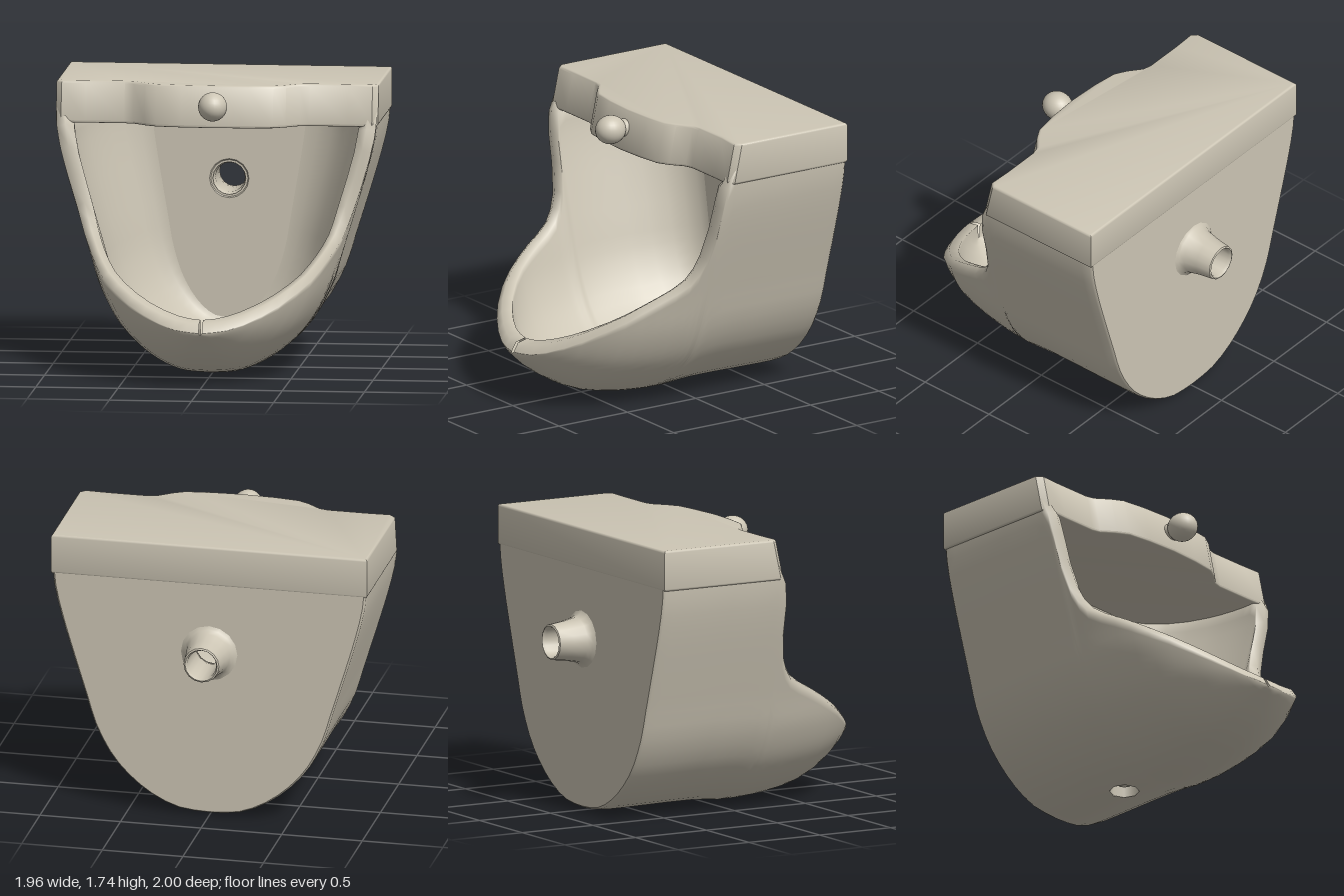
import * as THREE from 'three';
import { toCreasedNormals } from 'three/addons/utils/BufferGeometryUtils.js';

const ceramic = new THREE.MeshStandardMaterial({ color: 0xccc5b4, side: THREE.DoubleSide });
ceramic.name = 'glazed ceramic';

// Half outline of the body seen from the front, from the bottom up to the tank
const outline = new THREE.SplineCurve([
  [0, 0], [0.2, 0.02], [0.4, 0.12], [0.58, 0.29], [0.7, 0.5], [0.77, 0.72],
  [0.85, 0.98], [0.92, 1.22], [0.965, 1.42], [0.978, 1.6],
].map(([x, y]) => new THREE.Vector2(x, y)));

// Stations from back to front: z, rim height, underside height, half width
const stations = [
  [-0.78, 1.6, 0.025, 0.965], [-0.765, 1.6, 0.015, 0.978], [-0.7, 1.6, 0.01, 0.978],
  [-0.6, 1.6, 0.01, 0.978], [-0.45, 1.6, 0.012, 0.978], [-0.29, 1.6, 0.015, 0.978],
  [-0.2, 1.6, 0.015, 0.978], [-0.11, 1.6, 0.015, 0.978], [-0.03, 1.6, 0.01, 0.978],
  [0.03, 1.57, 0.005, 0.976], [0.08, 1.46, 0, 0.97], [0.1, 1.33, 0, 0.945],
  [0.11, 1.15, 0, 0.895], [0.14, 0.98, 0, 0.84], [0.18, 0.89, 0, 0.81],
  [0.23, 0.825, 0.002, 0.785], [0.31, 0.775, 0.008, 0.755], [0.4, 0.73, 0.018, 0.725],
  [0.5, 0.675, 0.035, 0.685], [0.6, 0.615, 0.06, 0.635], [0.7, 0.555, 0.1, 0.56],
  [0.8, 0.485, 0.16, 0.46], [0.87, 0.435, 0.212, 0.365], [0.93, 0.39, 0.265, 0.26],
  [0.97, 0.36, 0.3, 0.165], [0.99, 0.35, 0.32, 0.09], [1, 0.342, 0.335, 0.01],
];
const DRAIN = 6, N = 22, HOLE = 0.09;

// Linear lookup of one station column at any z
function at(z, col) {
  let i = 0;
  while (i < stations.length - 2 && stations[i + 1][0] < z) i++;
  const a = stations[i], b = stations[i + 1];
  const t = THREE.MathUtils.clamp((z - a[0]) / (b[0] - a[0]), 0, 1);
  return a[col] + (b[col] - a[col]) * t;
}

// U-shaped section from the right rim, under the bottom, to the left rim
function section(z, rim, bottom, width) {
  let lo = 0, hi = 1;
  for (let i = 0; i < 24; i++) {
    const m = (lo + hi) / 2;
    if (outline.getPointAt(m).y < rim) lo = m; else hi = m;
  }
  const top = outline.getPointAt(hi);
  const points = [];
  for (let j = -N; j <= N; j++) {
    const p = outline.getPointAt(hi * Math.abs(j) / N);
    points.push(new THREE.Vector3(
      Math.sign(j) * p.x * width / top.x, bottom + (rim - bottom) * p.y / top.y, z));
  }
  return points;
}

// Round the eight grid points about the drain into a circle
function openDrain(rows) {
  for (let dk = -1; dk <= 1; dk++) for (let dj = -1; dj <= 1; dj++) {
    if (!dk && !dj) continue;
    const p = rows[DRAIN + dk][N + dj], a = Math.atan2(dk, dj);
    p.x = HOLE * Math.cos(a);
    p.z = stations[DRAIN][0] + HOLE * Math.sin(a);
  }
}

function outerSections() {
  return stations.map((s) => section(...s));
}

function innerSections() {
  return stations.map(([z, , , w]) => {
    let zi = z;
    if (z < -0.3) zi = -0.68 + (z + 0.78) * 0.38 / 0.48;
    else if (z > 0.1) zi = 0.1 + (z - 0.1) * 0.89;
    const q = Math.min(1, Math.max(0, -zi / 0.68));
    const round = Math.sqrt(1 - q * q);
    const rim = Math.min(1.5, at(zi, 1));
    const bottom = Math.min(at(zi, 2) + 0.07 + 0.12 * (1 - round), rim - 0.008);
    return section(zi, rim, bottom, w * 0.89 * (0.55 + 0.45 * round));
  });
}

// Closed shell: outside, rolled rim, inside, rolled rim
function shellGeometry(outer, inner) {
  const roll = (a, b) => a.clone().lerp(b, 0.5).add(new THREE.Vector3(0, 0.018, 0.018));
  const loops = outer.map((o, k) => {
    const i = inner[k];
    return [...o, roll(o[2 * N], i[2 * N]), ...i.slice().reverse(), roll(o[0], i[0])];
  });
  const cols = loops[0].length, innerMid = 2 * N + 2 + N;
  const index = [];
  for (let k = 0; k < loops.length - 1; k++) {
    for (let j = 0; j < cols; j++) {
      const nearDrain = k === DRAIN - 1 || k === DRAIN;
      const midCell = [N - 1, N, innerMid - 1, innerMid].includes(j);
      if (nearDrain && midCell) continue;
      const a = k * cols + j, b = k * cols + (j + 1) % cols;
      index.push(a, b, a + cols, b, b + cols, a + cols);
    }
  }
  const g = new THREE.BufferGeometry().setFromPoints(loops.flat());
  g.setIndex(index);
  g.computeVertexNormals();
  return g;
}

// Flat wall filling a section, with the pipe hole
function wallGeometry(points) {
  const shape = new THREE.Shape(points.map((p) => new THREE.Vector2(p.x, p.y)));
  shape.holes.push(new THREE.Path().absarc(0, 1.05, 0.1, 0, Math.PI * 2, true));
  return new THREE.ShapeGeometry(shape, 8).translate(0, 0, points[0].z);
}

// Tank block: plan with a bulging middle, front sloping forward to its lower lip
function tankGeometry() {
  const half = [[0, 0.15], [0.2, 0.14], [0.35, 0.12], [0.42, 0.08], [0.5, 0.015],
    [0.56, 0], [0.8, 0], [0.94, 0.005], [0.965, -0.02], [0.965, -0.767]];
  const right = half.map(([x, z]) => new THREE.Vector2(x, -z));
  const left = half.slice(1).reverse().map(([x, z]) => new THREE.Vector2(-x, -z));
  const g = new THREE.ExtrudeGeometry(new THREE.Shape([...right, ...left]), {
    depth: 0.221, bevelThickness: 0.015, bevelSize: 0.015, bevelSegments: 3,
  });
  g.rotateX(-Math.PI / 2).translate(0, 1.499, 0);
  const p = g.attributes.position;
  for (let i = 0; i < p.count; i++) {
    if (p.getZ(i) > -0.1) p.setZ(i, p.getZ(i) + (1.735 - p.getY(i)) * 0.22);
  }
  return toCreasedNormals(g, 0.7);
}

export function createModel() {
  const model = new THREE.Group();
  model.name = 'wallBasin';
  const add = (name, geometry) => {
    const mesh = new THREE.Mesh(geometry, ceramic);
    mesh.name = name;
    model.add(mesh);
    return mesh;
  };

  const outer = outerSections(), inner = innerSections();
  openDrain(outer);
  openDrain(inner);
  add('bowlShell', shellGeometry(outer, inner));
  add('backWall', wallGeometry(outer[0]));
  add('innerBackWall', wallGeometry(inner[0]));
  add('tank', tankGeometry());

  // Drain sleeve through the bottom
  const drain = add('drain', new THREE.CylinderGeometry(HOLE, HOLE, 0.07, 8, 1, true));
  drain.position.set(0, 0.052, stations[DRAIN][0]);
  drain.rotation.y = Math.PI / 8 * 2;

  // Flared pipe out of the back, open right through to the bowl
  const profile = [[0.12, -0.105], [0.1, -0.09], [0.09, -0.05], [0.09, 0.2], [0.1, 0.22],
    [0.11, 0.215], [0.122, 0.12], [0.138, 0.04], [0.155, 0.012], [0.175, 0]];
  const pipe = new THREE.LatheGeometry(profile.map(([x, y]) => new THREE.Vector2(x, y)), 16);
  add('pipe', toCreasedNormals(pipe.rotateX(-Math.PI / 2), 0.8)).position.set(0, 1.05, -0.78);

  // Push knob on the tank front
  const knob = add('knob', new THREE.SphereGeometry(0.088, 24, 16));
  knob.scale.z = 1.1;
  knob.position.set(0, 1.625, 0.285);
  const neck = add('knobNeck', new THREE.CylinderGeometry(0.05, 0.06, 0.12, 16).rotateX(Math.PI / 2));
  neck.position.set(0, 1.62, 0.19);

  return model;
}
